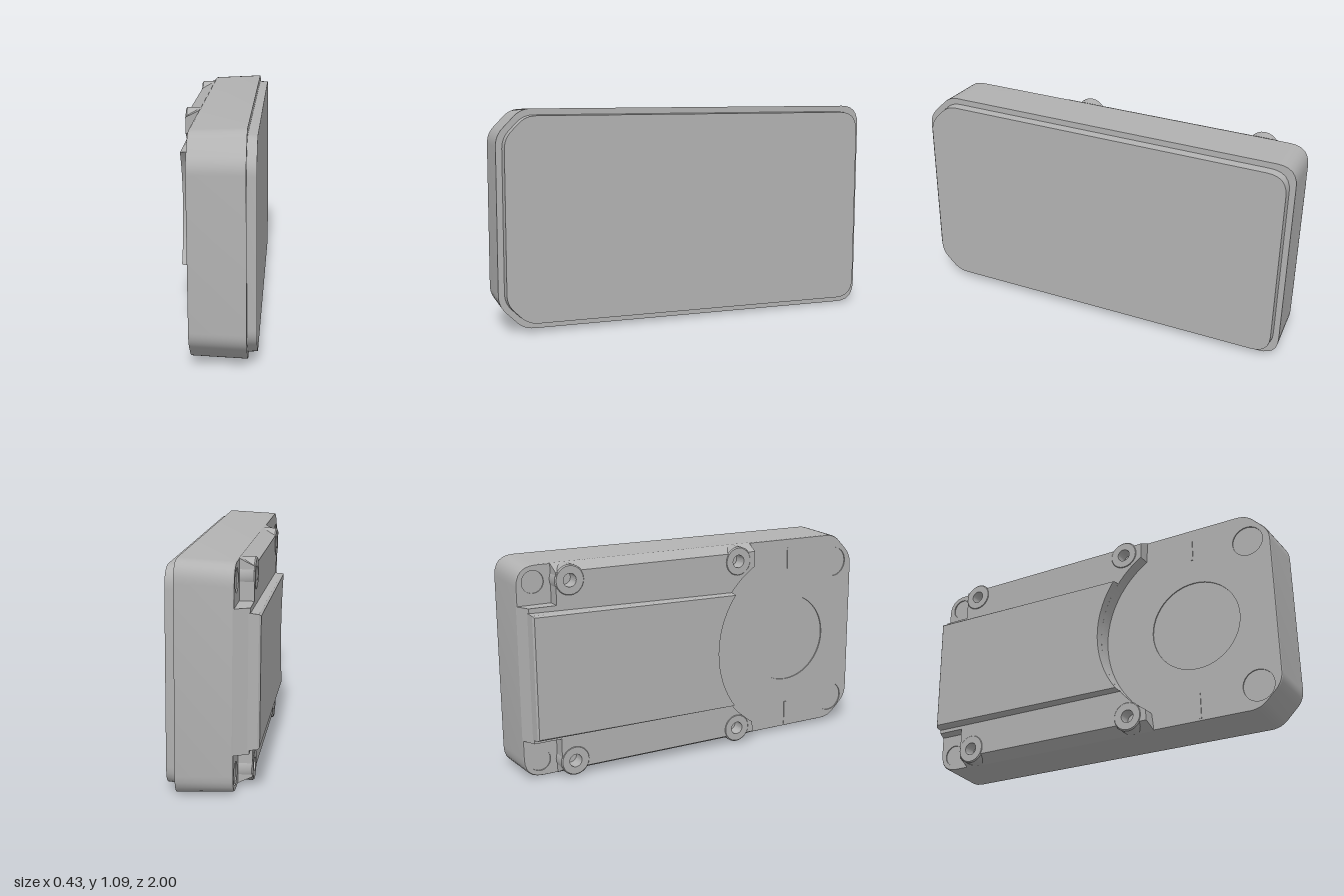
import * as THREE from 'three';
import { toCreasedNormals } from 'three/addons/utils/BufferGeometryUtils.js';

const grey = new THREE.MeshStandardMaterial({ color: 0xb2b2b2 });
grey.name = 'casing grey';

// Solid through sections [x, contour] from +x to -x; loops are [z, y], counter-clockwise
function loft(name, sections, holes = []) {
  const pos = [];
  const put = (x, p) => pos.push(x, p[1], p[0]);
  const loops = [0, ...holes.map((_, i) => i + 1)];
  const loopAt = (s, k) => (k === 0 ? s[1] : holes[k - 1]);
  for (let s = 0; s < sections.length - 1; s++) {
    const A = sections[s], B = sections[s + 1];
    for (const k of loops) {
      const a = loopAt(A, k), b = loopAt(B, k);
      for (let i = 0; i < a.length; i++) {
        const j = (i + 1) % a.length;
        put(A[0], a[i]); put(A[0], a[j]); put(B[0], b[j]);
        put(A[0], a[i]); put(B[0], b[j]); put(B[0], b[i]);
      }
    }
  }
  const vec = (l) => l.map((p) => new THREE.Vector2(p[0], p[1]));
  for (const [s, flip] of [[sections[0], true], [sections.at(-1), false]]) {
    const all = [s[1], ...holes].flat();
    for (const t of THREE.ShapeUtils.triangulateShape(vec(s[1]), holes.map(vec))) {
      for (const i of flip ? [t[0], t[2], t[1]] : t) put(s[0], all[i]);
    }
  }
  const g = new THREE.BufferGeometry();
  g.setAttribute('position', new THREE.Float32BufferAttribute(pos, 3));
  const mesh = new THREE.Mesh(toCreasedNormals(g, 0.5), grey);
  mesh.name = name;
  return mesh;
}

// Polygon [z, y, radius] with rounded corners
function rounded(pts, n = 6) {
  const out = [];
  pts.forEach(([z, y, r], i) => {
    const c = new THREE.Vector2(z, y);
    const toward = (q) => new THREE.Vector2(q[0], q[1]).sub(c).setLength(r).add(c);
    const a = toward(pts.at(i - 1)), b = toward(pts[(i + 1) % pts.length]);
    const curve = new THREE.QuadraticBezierCurve(a, c, b);
    for (const p of curve.getPoints(n)) out.push([p.x, p.y]);
  });
  return out;
}

// Casing outline, inset by d: rounded at the back, chamfered at the front
const outline = (d) => rounded([
  [-0.995 + d, 0.012 + d, 0.1], [0.87 - d * 0.4, 0.012 + d, 0.05],
  [0.995 - d, 0.135 + d * 0.4, 0.05], [0.995 - d, 0.965 - d * 0.4, 0.05],
  [0.87 - d * 0.4, 1.093 - d, 0.05], [-0.995 + d, 1.093 - d, 0.1],
]);

// Clockwise hole loop
const hole = (z, y, r, n = 32) => Array.from({ length: n }, (_, i) => {
  const a = -i / n * Math.PI * 2;
  return [z + r * Math.cos(a), y + r * Math.sin(a)];
});

// Concave bite of the round recess, from bottom to top
const bite = (phi, r = 0.5, n = 24) => Array.from({ length: n + 1 }, (_, i) => {
  const a = Math.PI + phi - 2 * phi * i / n;
  return [0.56 + r * Math.cos(a), 0.54 + r * Math.sin(a)];
});

export function createModel() {
  const model = new THREE.Group();
  const tilt = new THREE.Group();
  tilt.name = 'casing';
  tilt.position.y = 0.55;
  tilt.rotation.set(-0.008, 0, 0.009);
  const parts = new THREE.Group();
  parts.position.y = -0.55;
  tilt.add(parts);
  model.add(tilt);

  // Main body, slightly drafted, and the stepped front plate
  parts.add(loft('body', [[0.163, outline(0)], [-0.094, outline(0.01)]]));
  parts.add(loft('facePlate', [[0.208, outline(0.033)], [0.16, outline(0.03)]]));

  // Thin rear skin with shallow round recesses
  parts.add(loft('rearSkin', [[-0.094, outline(0.01)], [-0.1, outline(0.013)]], [
    hole(0.56, 0.535, 0.237, 48),
    hole(0.865, 0.93, 0.08), hole(0.865, 0.145, 0.08),
    hole(-0.9, 1.0, 0.055), hole(-0.9, 0.105, 0.055),
  ]));

  // Raised back section with notched corners and screw holes
  const screws = [-0.74, 0.2].flatMap((z) => [[z, 1.005], [z, 0.095]]);
  const raised = (d) => [
    [-0.81, 0.022 + d], [0.31 - d * 0.2, 0.022 + d], ...bite(1.024),
    [0.31 - d * 0.2, 1.083 - d], [-0.81, 1.083 - d], [-0.81, 0.89],
    [-0.985 + d, 0.89], [-0.985 + d, 0.22], [-0.81, 0.22],
  ];
  parts.add(loft('raisedBack', [[-0.097, raised(0)], [-0.168, raised(0.035)]],
    screws.map(([z, y]) => hole(z, y, 0.036, 20))));

  // Central pad
  const pad = (d) => [
    [-0.955 + d, 0.238 + d], ...bite(0.655 - d),
    [-0.955 + d, 0.868 - d],
  ];
  parts.add(loft('centrePad', [[-0.16, pad(0)], [-0.205, pad(0.006)], [-0.214, pad(0.014)]]));

  // Screw bosses
  const ring = new THREE.LatheGeometry([
    [0.033, 0], [0.076, 0], [0.076, 0.068], [0.07, 0.074], [0.033, 0.074], [0.033, 0],
  ].map(([r, h]) => new THREE.Vector2(r, h)), 24);
  const bossGeometry = toCreasedNormals(ring, 0.5);
  for (const [z, y] of screws) {
    const boss = new THREE.Mesh(bossGeometry, grey);
    boss.name = 'screwBoss';
    boss.rotation.z = Math.PI / 2;
    boss.position.set(-0.097, y, z);
    parts.add(boss);
  }

  // Small ribs above and below the round recess
  for (const y of [0.97, 0.1]) {
    const rib = new THREE.Mesh(new THREE.BoxGeometry(0.008, 0.13, 0.012), grey);
    rib.name = 'rib';
    rib.position.set(-0.1, y, 0.56);
    parts.add(rib);
  }
  return model;
}
